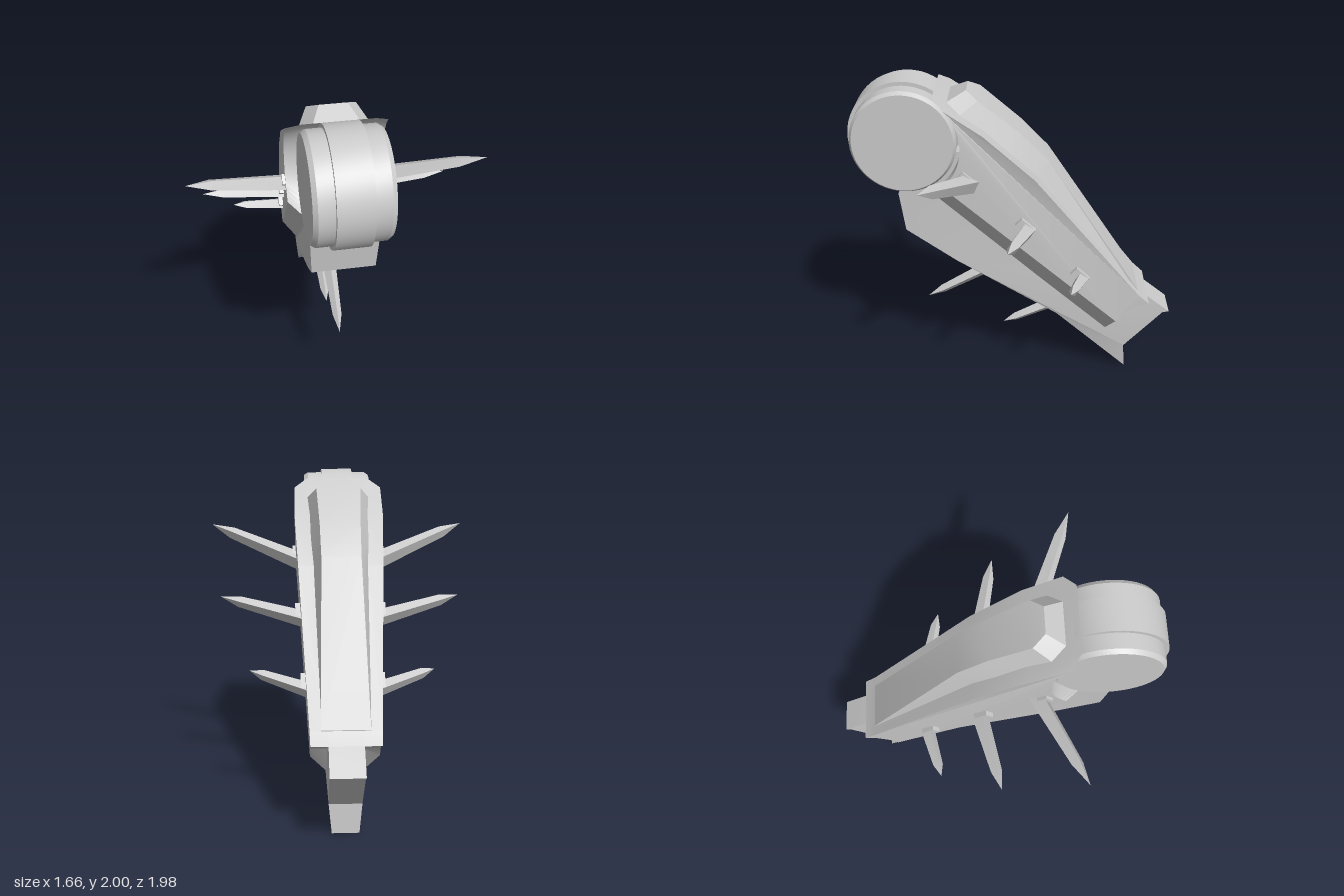
import * as THREE from 'three';
import { toCreasedNormals } from 'three/addons/utils/BufferGeometryUtils.js';

const material = new THREE.MeshStandardMaterial({ color: 0xcccccc });
const WHEEL = { z: 0.656, y: 1.664, r: 0.335 };

// Distance down the sloping limb, and half-widths that narrow along it
const along = (z, y) => -0.735 * z - 0.678 * y;
const taper = (s, s0, s1, a, b) => THREE.MathUtils.lerp(a, b, THREE.MathUtils.clamp((s - s0) / (s1 - s0), 0, 1));
const shellWidth = (z, y) => taper(along(z, y), -1.3, 0.2, 0.28, 0.2);
const coreWidth = (z, y) => Math.min(taper(along(z, y), -1.5, 0.15, 0.2, 0.1), 0.08 + 0.1 * Math.max(y, 0));

function addMesh(parent, name, geometry) {
  const mesh = new THREE.Mesh(geometry, material);
  mesh.name = name;
  parent.add(mesh);
  return mesh;
}

// Skin closed rings of [x, y, z]; project flattens a ring for its end cap
function loft(rings, project) {
  const n = rings[0].length;
  const index = [];
  for (let i = 0; i < rings.length - 1; i++) {
    for (let j = 0; j < n; j++) {
      const k = (j + 1) % n;
      const a = i * n + j, b = i * n + k, c = b + n, d = a + n;
      index.push(a, b, c, a, c, d);
    }
  }
  const cap = (ring) => THREE.ShapeUtils.triangulateShape(ring.map((p) => new THREE.Vector2(...project(p))), []);
  for (const [a, b, c] of cap(rings[0])) index.push(c, b, a);
  const last = (rings.length - 1) * n;
  for (const [a, b, c] of cap(rings[rings.length - 1])) index.push(last + a, last + b, last + c);
  const geometry = new THREE.BufferGeometry();
  geometry.setAttribute('position', new THREE.Float32BufferAttribute(rings.flat(2), 3));
  geometry.setIndex(index);
  return toCreasedNormals(geometry, 0.4);
}

const sideways = ([x, y, z]) => [-z, y];
const ringAt = (profile, side, width) => profile.map(([z, y]) => [side * width(z, y), y, z]);

// Side outline of the shell: wheel cutout, lower edge, concave end, top edge
function shellProfile(start, end, lowerEnd) {
  const points = [];
  for (let i = 0; i <= 20; i++) {
    const a = THREE.MathUtils.lerp(start, end, i / 20);
    points.push([WHEEL.z + WHEEL.r * Math.cos(a), WHEEL.y + WHEEL.r * Math.sin(a)]);
  }
  points.push(lowerEnd, [-0.68, 0.505], [-0.76, 0.556], [-0.84, 0.575]);
  points.push([-0.77, 0.64], [-0.11, 1.46], [0.19, 1.74]);
  return points;
}

// Four-sided spike with a pointed tip
function addSpike(parent, name, base, tip, radius) {
  const from = new THREE.Vector3(...base);
  const dir = new THREE.Vector3(...tip).sub(from);
  const length = dir.length();
  dir.normalize();
  const profile = [[0, -0.1], [radius, -0.1], [radius * 0.62, length * 0.76], [0, length]];
  const geometry = toCreasedNormals(
    new THREE.LatheGeometry(profile.map(([r, h]) => new THREE.Vector2(r, h)), 4), 0.3);
  const spike = addMesh(parent, name, geometry);
  spike.position.copy(from);
  spike.quaternion.setFromUnitVectors(new THREE.Vector3(0, 1, 0), dir);
  return spike;
}

export function createModel() {
  const model = new THREE.Group();
  model.name = 'spikedLimb';

  // Joint wheel with raised centre band
  const rim = [[0, -0.215], [0.295, -0.215], [0.312, -0.19], [0.312, -0.1], [0.335, -0.1],
    [0.335, 0.1], [0.312, 0.1], [0.312, 0.19], [0.295, 0.215], [0, 0.215]];
  const wheel = addMesh(model, 'jointWheel', toCreasedNormals(
    new THREE.LatheGeometry(rim.map(([r, h]) => new THREE.Vector2(r, h)), 48), 0.4));
  wheel.rotation.z = -Math.PI / 2;
  wheel.position.set(0, WHEEL.y, WHEEL.z);

  // Inner core, ending in a notched foot
  const core = [[0.7, 1.34], [0.67, 1.09], [0.37, 0.86], [-0.26, 0.44], [-0.725, 0], [-0.71, 0.175],
    [-0.95, 0.445], [-0.99, 0.45], [-0.84, 0.57], [-0.77, 0.62], [-0.11, 1.42], [0.15, 1.62], [0.5, 1.6]];
  addMesh(model, 'core', loft([-1, 1].map((side) => ringAt(core, side, coreWidth)), sideways));

  // Armour shell, bevelled inward along the lower edge
  const outer = shellProfile(2.397, 3.965, [-0.635, 0.44]);
  const inner = shellProfile(2.147, 4.29, [-0.577, 0.318]);
  addMesh(model, 'armourShell', loft([
    ringAt(outer, -1, shellWidth), ringAt(inner, -1, coreWidth),
    ringAt(inner, 1, coreWidth), ringAt(outer, 1, shellWidth),
  ], sideways));

  // Raised ridge on the back: base half-width, z, y, then top half-width, z, y
  const stations = [
    [0.13, 0.40, 1.89, 0.08, 0.29, 1.945],
    [0.2, 0.33, 1.83, 0.14, 0.22, 1.90],
    [0.185, 0.05, 1.59, 0.125, -0.02, 1.70],
    [0.17, -0.11, 1.44, 0.12, -0.19, 1.526],
    [0.14, -0.77, 0.62, 0.14, -0.77, 0.645],
  ];
  addMesh(model, 'backRidge', loft(
    stations.map(([b, bz, by, t, tz, ty]) => [[b, by, bz], [-b, by, bz], [-t, ty, tz], [t, ty, tz]]),
    ([x, y]) => [-x, y]));

  // Three spikes with sockets on each side
  const sideSpikes = [
    [[0.27, 1.44, 0.27], [0.83, 1.645, 0.5], 0.06],
    [[0.255, 1.13, -0.07], [0.745, 1.245, 0.04], 0.055],
    [[0.225, 0.775, -0.41], [0.555, 0.867, -0.325], 0.05],
  ];
  for (const side of [-1, 1]) {
    const label = side > 0 ? 'left' : 'right';
    sideSpikes.forEach(([base, tip, radius], i) => {
      const flip = ([x, y, z]) => [side * x, y, z];
      addSpike(model, `${label}Spike${i + 1}`, flip(base), flip(tip), radius);
      const socket = addMesh(model, `${label}Socket${i + 1}`, new THREE.BoxGeometry(0.05, 0.06, 0.1));
      socket.position.set(side * base[0], base[1] + 0.03, base[2] + 0.02);
      socket.rotation.x = -0.75;
    });
  }

  // Two spikes underneath
  addSpike(model, 'lowerSpike1', [0, 0.73, 0.17], [0, 0.495, 0.58], 0.045);
  addSpike(model, 'lowerSpike2', [0, 0.46, -0.25], [0, 0.295, 0.09], 0.045);

  return model;
}
